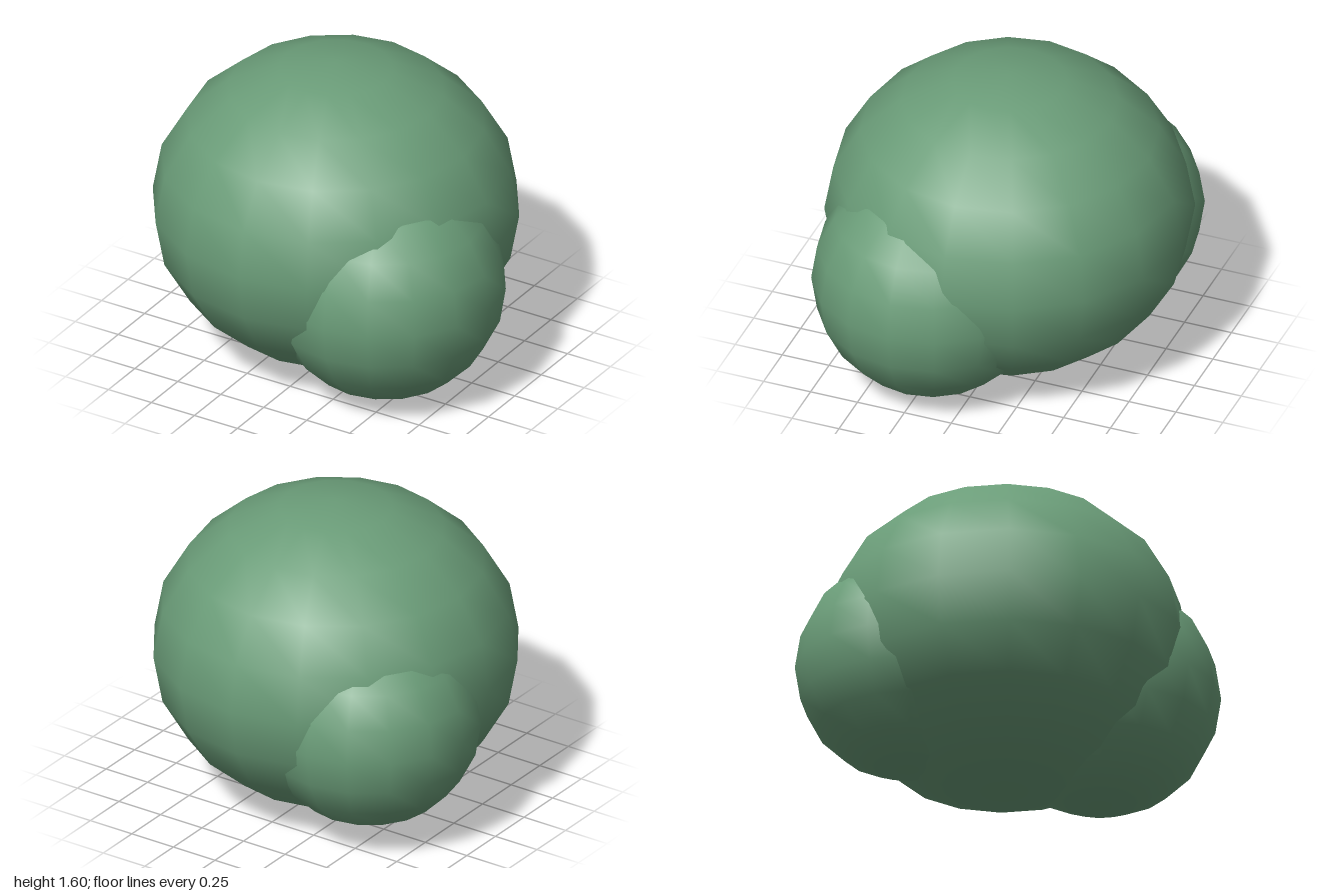
import * as THREE from 'three';

export function createModel() {
  const group = new THREE.Group();
  group.name = 'bush';
  const material = new THREE.MeshStandardMaterial({ color: 0x6a9c78 });

  // Every clump is a smooth low-segment ball, optionally squashed in height
  function addClump(name, radius, position, squash = 1) {
    const geometry = new THREE.SphereGeometry(radius, 16, 10);
    geometry.scale(1, squash, 1);
    const mesh = new THREE.Mesh(geometry, material);
    mesh.name = name;
    mesh.position.set(...position);
    group.add(mesh);
  }

  addClump('mainFoliage', 0.92, [-0.04, 0.8, 0], 0.87);
  addClump('frontLeftFoliage', 0.6, [0.4, 0.6, 0.24]);
  addClump('backRightFoliage', 0.56, [-0.44, 0.64, -0.28]);

  return group;
}
